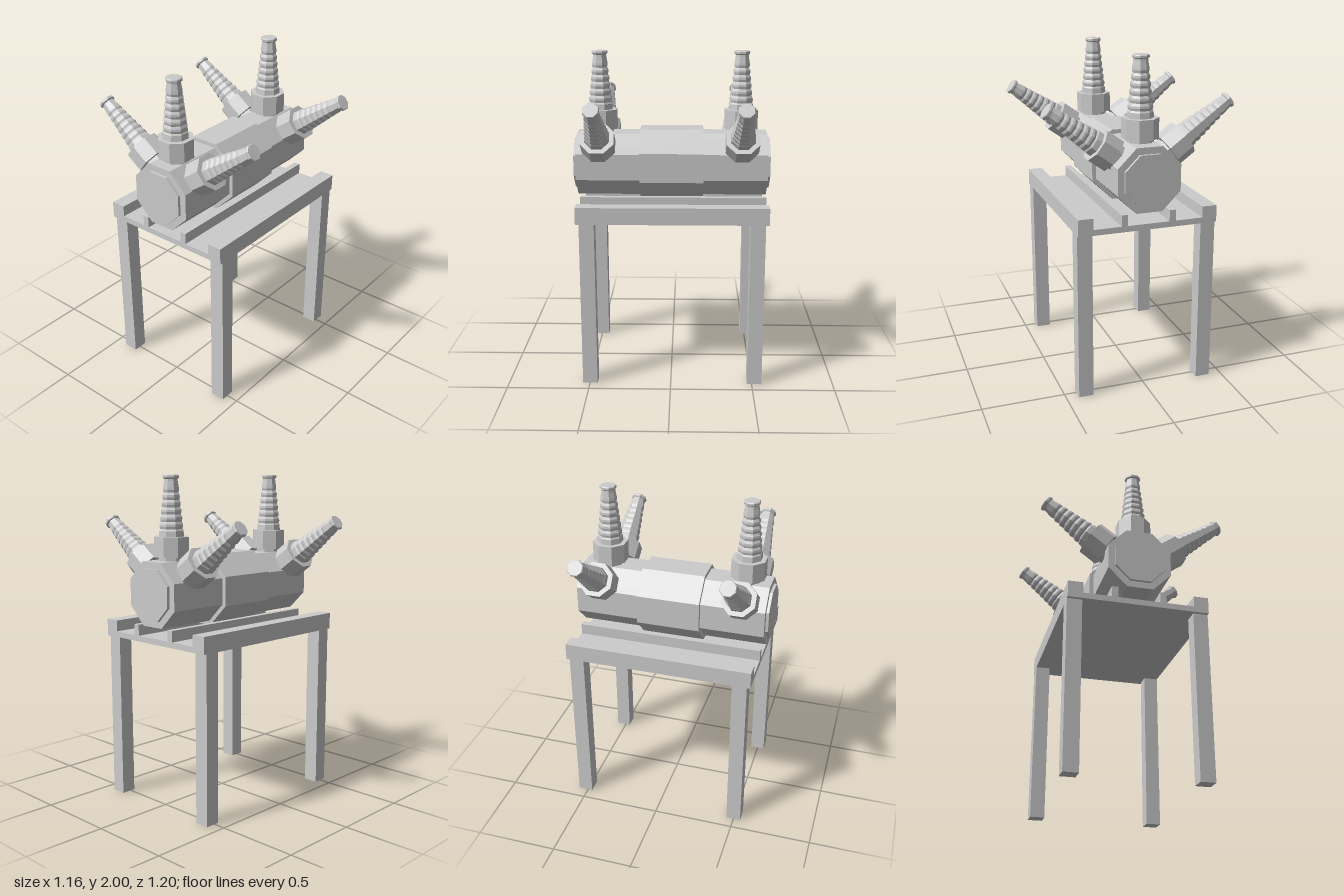
import * as THREE from 'three';

const material = new THREE.MeshStandardMaterial({ color: 0xcccccc, flatShading: true });
const CORNER = 1 / Math.cos(Math.PI / 8); // octagon: flat distance to corner radius
const AXIS_Y = 1.314;

function add(parent, name, geometry, x = 0, y = 0, z = 0) {
  const mesh = new THREE.Mesh(geometry, material);
  mesh.name = name;
  mesh.position.set(x, y, z);
  parent.add(mesh);
  return mesh;
}

// Box given by its limits on each axis
function box(parent, name, [x0, x1], [y0, y1], [z0, z1]) {
  return add(parent, name, new THREE.BoxGeometry(x1 - x0, y1 - y0, z1 - z0),
    (x0 + x1) / 2, (y0 + y1) / 2, (z0 + z1) / 2);
}

// Eight-sided turned part; radii are measured to the flats
function octagonLathe(profile) {
  const points = profile.map(([r, y]) => new THREE.Vector2(r * CORNER, y));
  return new THREE.LatheGeometry(points, 8, Math.PI / 8);
}

// Eight-sided drum lying along z
function drum(parent, name, flat, z0, z1) {
  const geometry = octagonLathe([[0, z0], [flat, z0], [flat, z1], [0, z1]]);
  geometry.rotateX(Math.PI / 2);
  add(parent, name, geometry, 0, AXIS_Y, 0);
}

// Socket and ribbed nozzle, with heights measured from the barrel axis
function createNozzle() {
  const nozzle = new THREE.Group();
  nozzle.name = 'nozzle';
  add(nozzle, 'socketNeck', octagonLathe([[0, 0.17], [0.075, 0.17], [0.075, 0.22], [0, 0.22]]));
  add(nozzle, 'socket', octagonLathe([[0, 0.212], [0.1, 0.212], [0.1, 0.331], [0, 0.331]]));

  const profile = [[0, 0.32], [0.073, 0.32], [0.07, 0.365]];
  const ribs = 6, start = 0.375, pitch = 0.042;
  for (let i = 0; i < ribs; i++) {
    const y = start + i * pitch;
    const r = 0.067 - i * 0.0044;
    profile.push([r - 0.003, y], [r + 0.001, y + pitch * 0.35], [r, y + pitch * 0.65]);
  }
  profile.push([0.039, 0.65], [0.038, 0.662], [0.046, 0.669], [0.046, 0.681], [0.042, 0.686], [0, 0.686]);
  add(nozzle, 'ribbedNozzle', octagonLathe(profile));
  return nozzle;
}

export function createModel() {
  const model = new THREE.Group();
  model.name = 'barrelOnTable';

  // Table
  const table = new THREE.Group();
  table.name = 'table';
  model.add(table);
  const tableZ = [-0.582, 0.564];
  box(table, 'tableTop', [-0.34, 0.34], [1.02, 1.055], tableZ);
  for (const s of [-1, 1]) {
    const outer = [0.335 * s, 0.425 * s].sort((a, b) => a - b);
    const inner = [0.128 * s, 0.166 * s].sort((a, b) => a - b);
    box(table, 'sideRail', outer, [1.02, 1.122], tableZ);
    box(table, 'innerRail', inner, [1.05, 1.122], tableZ);
    box(table, 'frontLeg', outer, [0, 1.02], [0.453, 0.543]);
    box(table, 'backLeg', outer, [0, 1.02], [-0.561, -0.471]);
  }

  // Barrel
  const barrel = new THREE.Group();
  barrel.name = 'barrel';
  model.add(barrel);
  drum(barrel, 'barrelBody', 0.191, -0.585, 0.583);
  drum(barrel, 'centreBand', 0.215, -0.194, 0.194);
  drum(barrel, 'endPlates', 0.151, -0.603, 0.6);

  // Two fans of three nozzles around the barrel
  for (const z of [0.44, -0.426]) {
    for (const side of [-1, 0, 1]) {
      const nozzle = createNozzle();
      nozzle.position.set(0, AXIS_Y, z);
      nozzle.rotation.z = side * THREE.MathUtils.degToRad(54);
      model.add(nozzle);
    }
  }
  return model;
}
